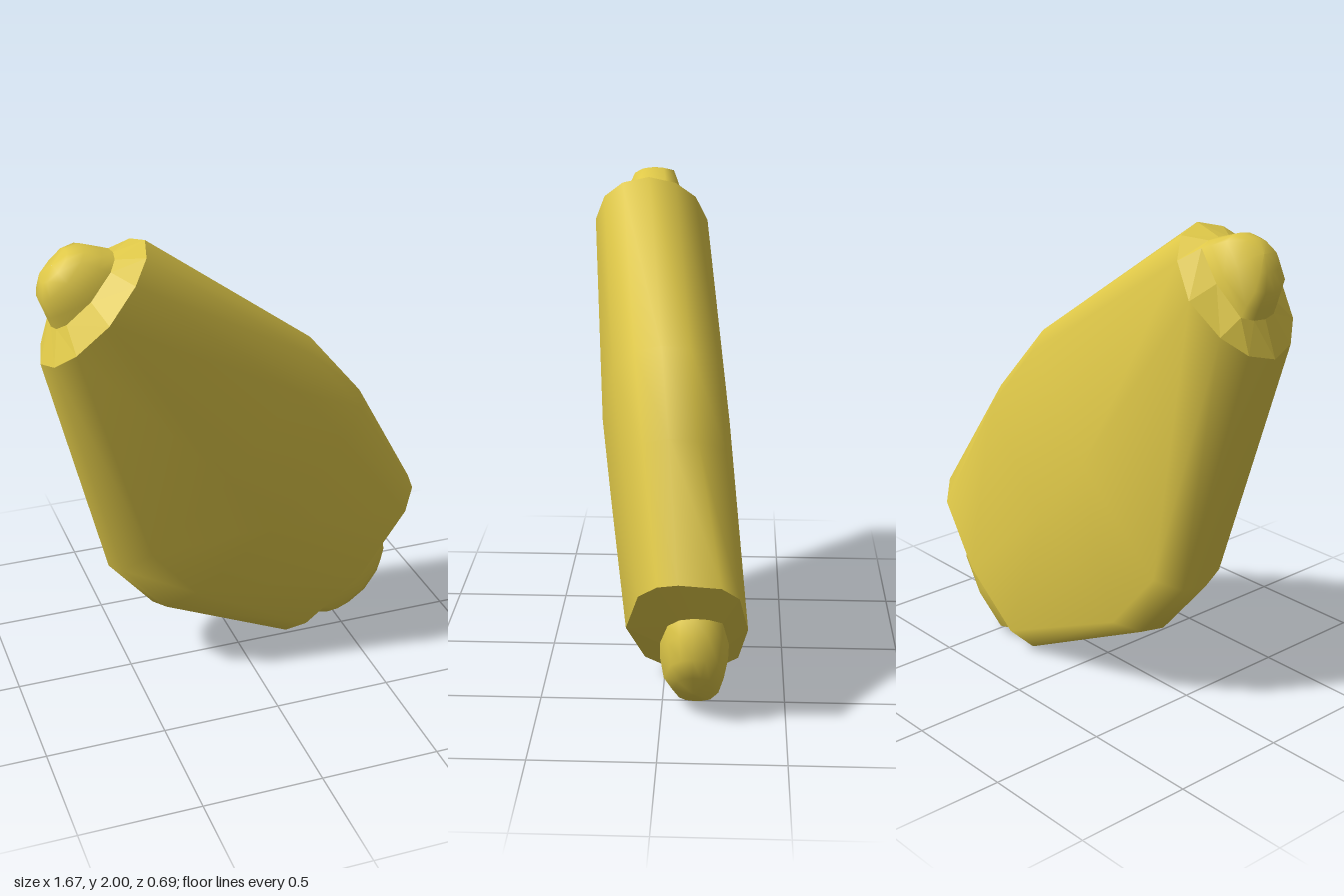
import * as THREE from 'three';

const DIR = [0.69, 0.724];   // across the limb, in the xy plane
const AXIS = [0.724, -0.69]; // along the limb, downwards

// quarter outlines: [across, depth] from the edge to the middle of the broad face
const ROUND = [[1, 0], [0.87, 0.46], [0.55, 0.8], [0, 1]];
const SOFT = [[1, 0], [0.93, 0.4], [0.7, 0.74], [0, 1]];
const BOXY = [[1, 0], [0.97, 0.42], [0.84, 0.82], [0, 1]];
const END = [[1, 0.1], [0.95, 0.43], [0.74, 0.74], [0, 1]];
const END_BACK = [[1, 0], [0.94, 0.57], [0.72, 0.85], [0, 1]];

// closed 12-point ring between two edge points, from a front and a back quarter outline
function ring([ax, ay], [bx, by], z, depth, front, back = front) {
  const outline = [
    ...front, ...front.slice(0, 3).reverse().map(([u, v]) => [-u, v]),
    ...back.slice(1).map(([u, v]) => [-u, -v]),
    ...back.slice(1, 3).reverse().map(([u, v]) => [u, -v]),
  ];
  return outline.map(([u, v]) => [
    (ax + bx) / 2 + u * (bx - ax) / 2,
    (ay + by) / 2 + u * (by - ay) / 2,
    z + v * depth,
  ]);
}

// ring at the limb's end: s across and h along the axis from the end's centre
function endRing([x, y], s, h, half, z, depth) {
  const at = (t) => [x + DIR[0] * t + AXIS[0] * h, y + DIR[1] * t + AXIS[1] * h];
  return ring(at(s - half), at(s + half), z, depth, SOFT, BOXY);
}

function loft(name, rings, material, flat = false) {
  const n = rings[0].length, index = [];
  for (let j = 0; j < rings.length - 1; j++) {
    for (let i = 0; i < n; i++) {
      const a = j * n + i, b = j * n + (i + 1) % n;
      index.push(a, b, a + n, b, b + n, a + n);
    }
  }
  let geo = new THREE.BufferGeometry();
  geo.setAttribute('position', new THREE.Float32BufferAttribute(rings.flat(2), 3));
  geo.setIndex(index);
  if (flat) geo = geo.toNonIndexed();
  geo.computeVertexNormals();
  const mesh = new THREE.Mesh(geo, material);
  mesh.name = name;
  return mesh;
}

export function createModel() {
  const group = new THREE.Group();
  group.name = 'limbSegment';
  const yellow = new THREE.MeshStandardMaterial({ color: 0xdfc848 });

  // broad shell: softly curved front, flatter back
  const top = ring([-0.84, 1.55], [-0.41, 2.0], 0.097, 0.247, ROUND);
  const bottom = ring([0.21, 0.01], [0.835, 0.67], -0.1, 0.246, END, END_BACK);
  group.add(loft('shell', [
    top,
    ring([-0.585, 0.54], [0.31, 1.46], 0.012, 0.272, SOFT, BOXY),
    ring([-0.385, 0.29], [0.56, 1.16], -0.03, 0.264, SOFT, BOXY),
    bottom,
  ], yellow));

  // upper collar and rounded joint
  const t = [-0.625, 1.775];
  const topNeck = endRing(t, 0.015, -0.065, 0.185, 0.09, 0.135);
  group.add(loft('upperCollar', [topNeck, top], yellow, true));
  group.add(loft('upperJoint', [
    endRing(t, 0.02, -0.222, 0.001, 0.09, 0.001),
    endRing(t, 0.02, -0.215, 0.075, 0.09, 0.07),
    endRing(t, 0.015, -0.175, 0.132, 0.09, 0.11),
    endRing(t, 0.015, -0.11, 0.163, 0.09, 0.13),
    topNeck,
  ], yellow));

  // lower collar and rounded joint
  const b = [0.5225, 0.34];
  const lowNeck = endRing(b, -0.075, 0.035, 0.28, -0.13, 0.14);
  group.add(loft('lowerCollar', [bottom, lowNeck], yellow, true));
  group.add(loft('lowerJoint', [
    lowNeck,
    endRing(b, -0.07, 0.1, 0.265, -0.13, 0.137),
    endRing(b, -0.077, 0.18, 0.212, -0.13, 0.12),
    endRing(b, -0.08, 0.228, 0.14, -0.13, 0.08),
    endRing(b, -0.085, 0.245, 0.001, -0.13, 0.001),
  ], yellow));

  return group;
}
